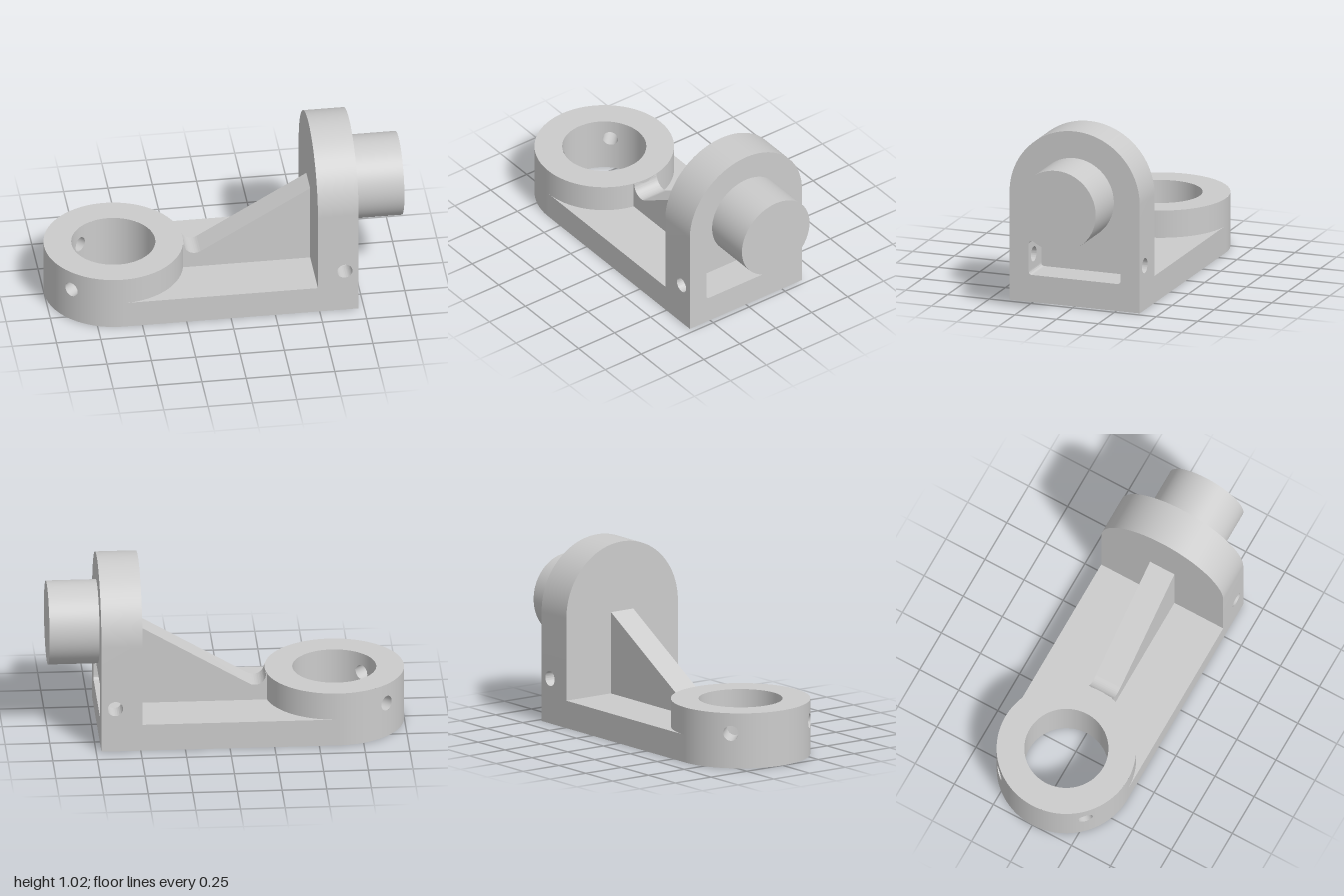
import * as THREE from 'three';
import { toCreasedNormals } from 'three/addons/utils/BufferGeometryUtils.js';
import { ParametricGeometry } from 'three/addons/geometries/ParametricGeometry.js';

const R = 0.39, BORE = 0.235, CX = -0.61;       // collar
const H = 0.315, PLATE = 0.157;                 // collar and plate heights
const X0 = 0.49, X1 = 0.72, AXIS_Y = 0.627;     // upright
const PIN = 0.043;                              // cross-hole radius
const POCKET_X = 0.525, POCKET_Z = 0.275, POCKET_TOP = 0.355;

export function createModel() {
  const model = new THREE.Group();
  const material = new THREE.MeshStandardMaterial({ color: 0xcccccc });

  function add(name, geometry, parent = model) {
    const mesh = new THREE.Mesh(geometry, material);
    mesh.name = name;
    parent.add(mesh);
    return mesh;
  }
  function group(name) {
    const g = new THREE.Group();
    g.name = name;
    model.add(g);
    return g;
  }
  const extrude = (shape, depth) => toCreasedNormals(
    new THREE.ExtrudeGeometry(shape, { depth, bevelEnabled: false, curveSegments: 48 }), 0.5);
  // Extrude a (z, y) outline along x, starting at x
  const extrudeX = (shape, x, depth) => extrude(shape, depth).rotateY(Math.PI / 2).translate(x, 0, 0);

  // Base plate, ending in a hollow that meets the collar
  const plate = new THREE.Shape();
  plate.moveTo(CX, -R);
  plate.lineTo(X1, -R);
  plate.lineTo(X1, R);
  plate.lineTo(CX, R);
  plate.absarc(CX, 0, R, Math.PI / 2, -Math.PI / 2, true);
  add('basePlate', extrude(plate, PLATE).rotateX(-Math.PI / 2));

  // Collar: curved walls pierced by two radial pin holes
  const collar = group('collar');
  const pinY = 0.2, halfSpan = 0.4, pinAngle = Math.PI * 0.75;
  const onWall = (angle, y, radius, target) =>
    target.set(CX + radius * Math.cos(angle), y, radius * Math.sin(angle));

  function plainWall(radius, inward, from, to) {
    return new ParametricGeometry((u, v, t) => {
      const k = inward ? 1 - v : v;
      onWall(from + (to - from) * k, H * u, radius, t);
    }, 1, Math.ceil((to - from) / 0.06));
  }
  // Wall patch spreading from the round hole to a rectangular border
  function piercedWall(radius, inward, centre) {
    return new ParametricGeometry((u, v, t) => {
      const a = (inward ? -u : u) * Math.PI * 2;
      const c = Math.cos(a), s = Math.sin(a), m = Math.max(Math.abs(c), Math.abs(s));
      const border = s > 0 ? H - pinY : pinY;
      const angle = THREE.MathUtils.lerp(Math.asin(PIN * c / radius), halfSpan * c / m, v);
      const y = THREE.MathUtils.lerp(PIN * s, border * s / m, v);
      onWall(centre + angle, pinY + y, radius, t);
    }, 64, 8);
  }
  for (const [name, radius, inward] of [['collarOutside', R, false], ['collarBore', BORE, true]]) {
    add(name, plainWall(radius, inward, -pinAngle + halfSpan, pinAngle - halfSpan), collar);
    add(name, plainWall(radius, inward, pinAngle + halfSpan, 2 * Math.PI - pinAngle - halfSpan), collar);
    for (const side of [-1, 1]) add(name, piercedWall(radius, inward, side * pinAngle), collar);
  }
  for (const side of [-1, 1]) {
    add('pinHole', new ParametricGeometry((u, v, t) => {
      const a = u * Math.PI * 2, radius = THREE.MathUtils.lerp(BORE, R, v);
      onWall(side * pinAngle + Math.asin(PIN * Math.cos(a) / radius), pinY + PIN * Math.sin(a), radius, t);
    }, 32, 4), collar);
  }
  const rim = () => new THREE.RingGeometry(BORE, R, 112);
  add('collarTop', rim().rotateX(-Math.PI / 2).translate(CX, H, 0), collar);
  add('collarBottom', rim().rotateX(Math.PI / 2).translate(CX, 0, 0), collar);

  // Sloping rib with a round fillet where it meets the collar
  const rib = new THREE.Shape();
  rib.moveTo(-0.3, 0.1);
  rib.lineTo(X0, 0.1);
  rib.lineTo(X0, 0.622);
  rib.absarc(-0.16, 0.31, 0.062, -Math.PI / 3, -Math.PI, true);
  rib.lineTo(-0.3, 0.31);
  add('rib', extrude(rib, 0.156).translate(0, 0, -0.078));

  // Upright: round-topped head above the pocket
  const upright = group('upright');
  const head = new THREE.Shape();
  head.moveTo(-R, POCKET_TOP);
  head.lineTo(R, POCKET_TOP);
  head.lineTo(R, AXIS_Y);
  head.absarc(0, AXIS_Y, R, 0, Math.PI, false);
  add('uprightHead', extrudeX(head, X0, X1 - X0), upright);

  // Pocket cheeks with a cross hole, and the pocket's back wall
  const cheek = new THREE.Shape([
    new THREE.Vector2(X0, PLATE), new THREE.Vector2(X1, PLATE),
    new THREE.Vector2(X1, POCKET_TOP), new THREE.Vector2(X0, POCKET_TOP)]);
  cheek.holes.push(new THREE.Path().absarc(0.642, 0.257, PIN, 0, Math.PI * 2, true));
  for (const z of [POCKET_Z, -R]) {
    add('pocketCheek', extrude(cheek, R - POCKET_Z).translate(0, 0, z), upright);
  }
  add('pocketBack', new THREE.BoxGeometry(POCKET_X - X0, POCKET_TOP - PLATE, POCKET_Z * 2)
    .translate((X0 + POCKET_X) / 2, (PLATE + POCKET_TOP) / 2, 0), upright);

  // Rounded inner corners of the pocket
  const f = 0.02;
  for (const sz of [-1, 1]) for (const [y, sy] of [[PLATE, 1], [POCKET_TOP, -1]]) {
    const z = sz * POCKET_Z;
    const corner = new THREE.Shape();
    corner.moveTo(z, y);
    corner.lineTo(z - sz * f, y);
    corner.quadraticCurveTo(z, y, z, y + sy * f);
    add('pocketCorner', extrudeX(corner, POCKET_X, X1 - POCKET_X), upright);
  }

  // Round peg
  add('peg', new THREE.CylinderGeometry(0.235, 0.235, 1 - X1, 96)
    .rotateZ(Math.PI / 2).translate((1 + X1) / 2, AXIS_Y, 0));

  return model;
}
